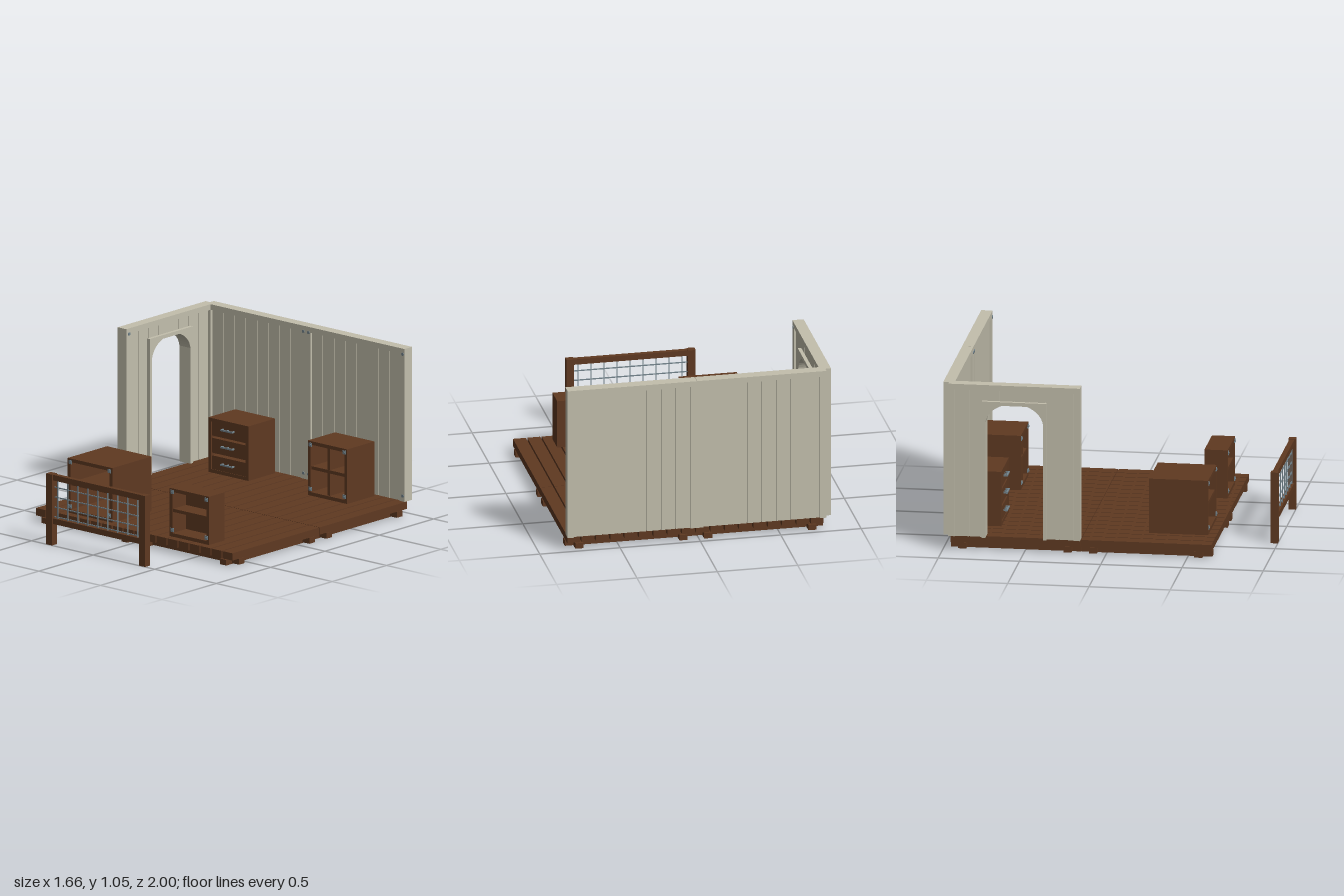
import * as THREE from 'three';

const mat = (name, color) => {
  const m = new THREE.MeshStandardMaterial({ color });
  m.name = name;
  return m;
};

export function createModel() {
  const wood = mat('brown wood', 0x5f3921);
  const paint = mat('pale wall paint', 0xc3bfad);
  const metal = mat('grey metal', 0x75868e);
  const root = new THREE.Group();
  root.name = 'furnishedRoom';

  const group = (name, parent = root) => {
    const g = new THREE.Group();
    g.name = name;
    parent.add(g);
    return g;
  };
  // Box given by its limits on each axis
  const box = (parent, name, material, x0, x1, y0, y1, z0, z1) => {
    const m = new THREE.Mesh(new THREE.BoxGeometry(x1 - x0, y1 - y0, z1 - z0), material);
    m.position.set((x0 + x1) / 2, (y0 + y1) / 2, (z0 + z1) / 2);
    m.name = name;
    parent.add(m);
    return m;
  };
  // Small round bolt head facing +z or -z
  const bolt = (parent, material, x, y, z, r = 0.01) => {
    const m = new THREE.Mesh(new THREE.CylinderGeometry(r, r, 0.008, 8), material);
    m.rotation.x = Math.PI / 2;
    m.position.set(x, y, z);
    m.name = 'bolt';
    parent.add(m);
  };

  // Floor: four pallets of nine planks on a frame of beams
  const W = 0.803;
  for (const x0 of [-0.78, 0.022]) {
    for (const z0 of [-0.96, -0.155]) {
      const g = group('floorPallet');
      const pitch = W / 9;
      for (let i = 0; i < 9; i++) {
        const a = x0 + i * pitch;
        box(g, 'floorPlank', wood, a + 0.004, a + pitch - 0.005, 0.04, 0.086, z0 + 0.002, z0 + W);
      }
      for (const d of [0.05, W - 0.105]) {
        box(g, 'lengthBeam', wood, x0 + d, x0 + d + 0.05, 0, 0.035, z0, z0 + W);
        box(g, 'crossBeam', wood, x0, x0 + W, 0.004, 0.04, z0 + d, z0 + d + 0.05);
      }
    }
  }

  // Wall panel running along local x, with an optional doorway [start, end]
  const bottom = 0.09, top = 1.055, rail = 1.02, half = 0.035;
  const wallPanel = (name, length, door) => {
    const g = group(name);
    box(g, 'topRail', paint, 0, length, rail, top, -half, half);
    for (const a of [0, length - 0.04]) {
      box(g, 'wallPost', paint, a, a + 0.04, bottom, rail, -half, half);
      for (const y of [0.125, 1.02]) {
        bolt(g, metal, a + 0.025, y, half);
      }
    }
    const spans = door
      ? [[0.04, door[0], bottom], [door[0], door[1], 0.94], [door[1], length - 0.04, bottom]]
      : [[0.04, length - 0.04, bottom]];
    for (const [a, b, y] of spans) {
      box(g, 'wallCore', paint, a, b, y, rail, -0.015, 0.015);
      const n = Math.max(1, Math.round((b - a) / 0.089));
      const w = (b - a) / n;
      for (let i = 0; i < n; i++) {
        box(g, 'wallBoard', paint, a + i * w + 0.002, a + (i + 1) * w - 0.002, y, rail, -0.023, 0.023);
      }
    }
    return g;
  };
  wallPanel('backWallLeft', 0.804).position.set(0.022, 0, -0.965);
  wallPanel('backWallRight', 0.805).position.set(-0.785, 0, -0.965);
  const doorWall = wallPanel('doorWall', 0.81, [0.215, 0.59]);
  doorWall.rotation.y = Math.PI / 2;
  doorWall.position.set(-0.785, 0, -0.155);

  // Door trim with rounded upper corners
  const trim = new THREE.Shape();
  trim.moveTo(0.205, bottom);
  trim.lineTo(0.225, bottom);
  trim.lineTo(0.225, 0.82);
  trim.quadraticCurveTo(0.238, 0.895, 0.325, 0.93);
  trim.lineTo(0.48, 0.93);
  trim.quadraticCurveTo(0.567, 0.895, 0.58, 0.82);
  trim.lineTo(0.58, bottom);
  trim.lineTo(0.602, bottom);
  trim.lineTo(0.602, 0.953);
  trim.lineTo(0.205, 0.953);
  const trimGeo = new THREE.ExtrudeGeometry(trim, { depth: 0.09, bevelEnabled: false, curveSegments: 8 });
  trimGeo.translate(0, 0, -0.045);
  const trimMesh = new THREE.Mesh(trimGeo, paint);
  trimMesh.name = 'doorTrim';
  doorWall.add(trimMesh);

  // Open cabinet with shelves at given heights and dividers at given x
  const T = 0.022, floor = 0.086;
  const cabinet = (name, x0, x1, y1, z0, z1, shelves, dividers) => {
    const g = group(name);
    box(g, 'cabinetTop', wood, x0, x1, y1 - T, y1, z0, z1);
    box(g, 'cabinetBottom', wood, x0 + T, x1 - T, floor, floor + T, z0, z1);
    box(g, 'cabinetBack', wood, x0 + T, x1 - T, floor + T, y1 - T, z0, z0 + 0.015);
    for (const a of [x0, x1 - T]) box(g, 'cabinetSide', wood, a, a + T, floor, y1 - T, z0, z1);
    for (const y of shelves) box(g, 'shelf', wood, x0 + T, x1 - T, y - 0.01, y + 0.01, z0, z1 - 0.008);
    for (const x of dividers) box(g, 'divider', wood, x - 0.01, x + 0.01, floor + T, y1 - T, z0, z1 - 0.01);
    return g;
  };
  // Square corner brackets with bolts on a cabinet front
  const brackets = (g, x0, x1, y1, z) => {
    for (const x of [x0 + 0.022, x1 - 0.022]) {
      for (const y of [floor + 0.042, y1 - 0.022]) {
        box(g, 'cornerBracket', metal, x - 0.012, x + 0.012, y - 0.012, y + 0.012, z - 0.002, z + 0.004);
        bolt(g, metal, x, y, z + 0.005, 0.006);
      }
    }
  };
  const addCabinet = (...a) => brackets(cabinet(...a), a[1], a[2], a[3], a[5]);
  addCabinet('cubeShelf', 0.265, 0.585, 0.43, -0.925, -0.675, [0.26], [0.425]);
  addCabinet('lowShelf', 0.265, 0.585, 0.39, 0.455, 0.597, [0.25], []);
  addCabinet('deepCabinet', -0.562, -0.2, 0.43, 0.235, 0.597, [0.27], []);

  // Chest with three drawers and wire handles
  const chest = cabinet('drawerChest', -0.545, -0.22, 0.43, -0.925, -0.678, [], []);
  for (const y of [0.147, 0.258, 0.366]) {
    box(chest, 'drawer', wood, -0.52, -0.245, y - 0.047, y + 0.047, -0.9, -0.682);
    box(chest, 'drawerHandle', metal, -0.43, -0.335, y + 0.002, y + 0.012, -0.664, -0.656);
    for (const x of [-0.43, -0.387, -0.343]) {
      box(chest, 'handleStem', metal, x, x + 0.008, y + 0.002, y + 0.012, -0.682, -0.66);
    }
  }

  // Free-standing fence with a wire grid
  const fence = group('fence');
  for (const x of [-0.382, 0.374]) {
    box(fence, 'fencePost', wood, x, x + 0.048, 0, 0.41, 0.955, 1);
    box(fence, 'postCap', wood, x, x + 0.048, 0.41, 0.447, 0.955, 1);
  }
  for (const y of [0.41, 0.135]) {
    box(fence, 'fenceRail', wood, -0.334, 0.374, y, y + 0.035, 0.962, 0.993);
  }
  for (let i = 0; i < 9; i++) {
    const x = -0.303 + i * 0.081;
    box(fence, 'uprightWire', metal, x - 0.003, x + 0.003, 0.165, 0.415, 0.979, 0.985);
  }
  for (const y of [0.178, 0.238, 0.302, 0.364]) {
    box(fence, 'crossWire', metal, -0.334, 0.374, y - 0.003, y + 0.003, 0.973, 0.979);
  }

  return root;
}
